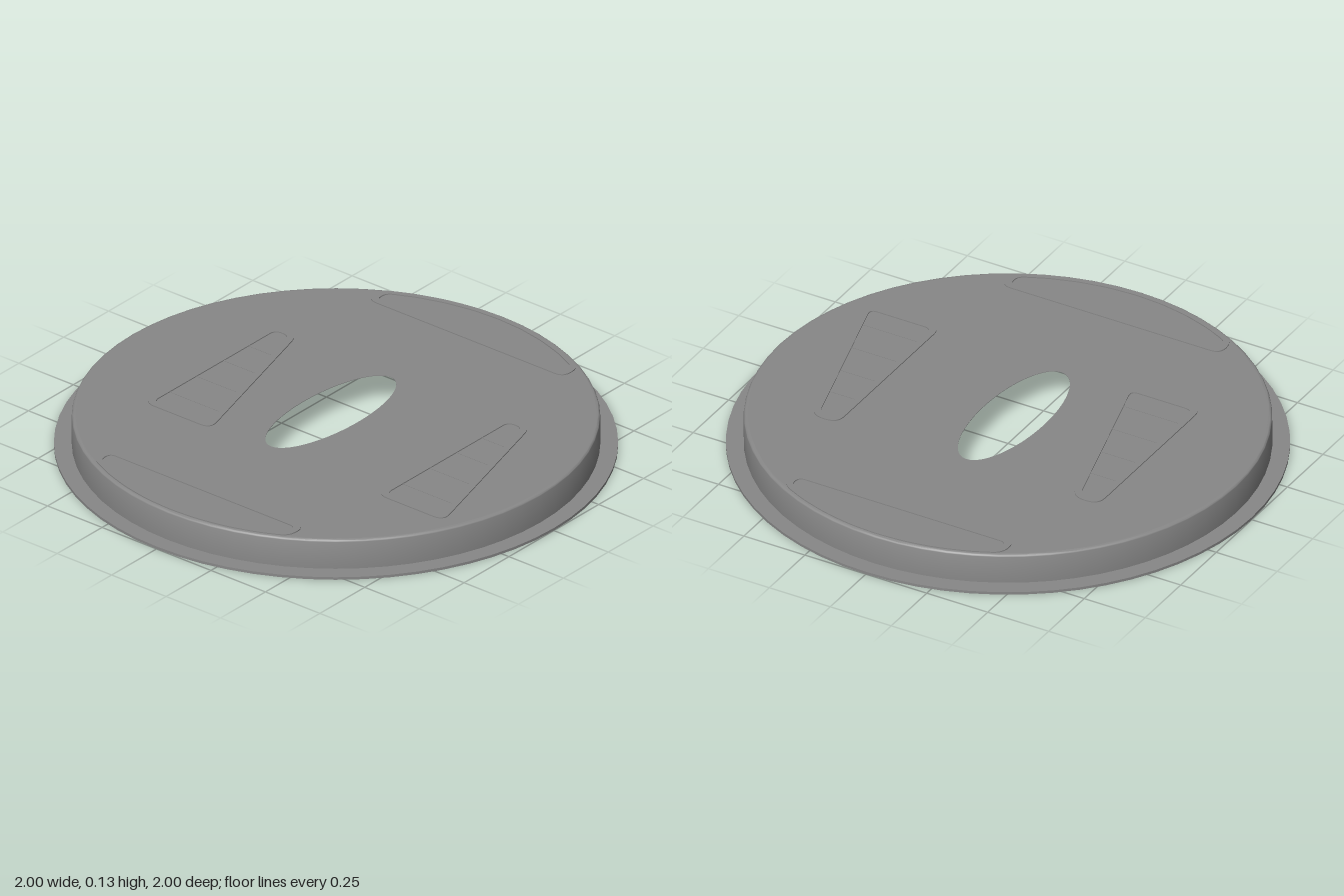
import * as THREE from 'three';
import { toCreasedNormals } from 'three/addons/utils/BufferGeometryUtils.js';

const TOP = 0.125;
const RIDGE_TOP = 0.129;
const material = new THREE.MeshStandardMaterial({ color: 0x888888 });

function addMesh(parent, name, geometry) {
  const mesh = new THREE.Mesh(toCreasedNormals(geometry, 0.5), material);
  mesh.name = name;
  parent.add(mesh);
  return mesh;
}

// Extrudes a plan drawn in (x, z) so that its upper face lies at y = top
function slab(shape, thickness, top) {
  const geometry = new THREE.ExtrudeGeometry(shape, {
    depth: thickness, curveSegments: 64, bevelEnabled: false,
  });
  return geometry.rotateX(Math.PI / 2).translate(0, top, 0);
}

// Outline points of a polygon with every corner rounded off
function roundedPolygon(corners, radius) {
  const pts = corners.map(([x, z]) => new THREE.Vector2(x, z));
  return pts.flatMap((p, i) => {
    const prev = pts[(i + pts.length - 1) % pts.length];
    const next = pts[(i + 1) % pts.length];
    const toward = (q) => p.clone().add(q.clone().sub(p).setLength(radius));
    return new THREE.QuadraticBezierCurve(toward(prev), p, toward(next)).getPoints(6);
  });
}

// Low raised frame between an outer and an inner outline
function frame(outer, inner) {
  const shape = new THREE.Shape(outer);
  shape.holes.push(new THREE.Path(inner));
  return slab(shape, 0.005, RIDGE_TOP);
}

// Corners of a disc segment cut off by a straight chord
function segmentCorners(radius, chord, halfLength) {
  const end = Math.asin(halfLength / radius);
  const arc = Array.from({ length: 9 }, (_, i) => {
    const a = (i / 4 - 1) * end;
    return [radius * Math.cos(a), radius * Math.sin(a)];
  });
  return [[chord, -halfLength], ...arc, [chord, halfLength]];
}

export function createModel() {
  const model = new THREE.Group();
  model.name = 'roundLid';

  // Thin side wall with a flat bottom flange and a softly rounded top edge
  const fillet = Array.from({ length: 6 }, (_, i) => {
    const a = (i / 5) * Math.PI / 2;
    return [0.925 + 0.012 * Math.cos(a), TOP - 0.012 + 0.012 * Math.sin(a)];
  });
  const profile = [
    [0.93, 0], [1, 0], [1, 0.01], [0.937, 0.01], ...fillet, [0.922, TOP],
    [0.922, TOP - 0.002], [0.93, TOP - 0.008], [0.93, 0],
  ].map(([r, y]) => new THREE.Vector2(r, y));
  addMesh(model, 'wallAndFlange', new THREE.LatheGeometry(profile, 64));

  // Thin top plate with the oval opening
  const disc = new THREE.Shape().absarc(0, 0, 0.923, 0, Math.PI * 2);
  disc.holes.push(new THREE.Path().absellipse(0, -0.024, 0.333, 0.123, 0, Math.PI * 2, true));
  addMesh(model, 'topPlate', slab(disc, 0.002, TOP));

  // Tapered raised frames, front and back, each with fine cross ribs
  const taperOuter = [[-0.37, -0.15], [0.36, -0.15], [0.36, -0.042], [-0.37, 0.16]];
  const taperInner = [[-0.345, -0.125], [0.335, -0.125], [0.335, -0.061], [-0.345, 0.127]];
  const taper = frame(roundedPolygon(taperOuter, 0.05), roundedPolygon(taperInner, 0.03));
  for (const [name, z] of [['frontPanel', 0.64], ['backPanel', -0.43]]) {
    const panel = new THREE.Group();
    panel.name = name;
    panel.position.z = z;
    model.add(panel);
    addMesh(panel, name + 'Frame', taper);
    for (const x of [-0.25, -0.1, 0.05, 0.19]) {
      const near = -0.126;
      const far = 0.033 - 0.277 * x;
      const rib = addMesh(panel, 'crossRib', new THREE.BoxGeometry(0.005, 0.003, far - near));
      rib.position.set(x, 0.125, (near + far) / 2);
    }
  }

  // Raised segment frames beside the rim, left and right
  const segment = frame(
    roundedPolygon(segmentCorners(0.923, 0.72, 0.45), 0.04),
    roundedPolygon(segmentCorners(0.903, 0.742, 0.425), 0.025),
  );
  for (const [name, turn] of [['leftSegment', 0], ['rightSegment', Math.PI]]) {
    addMesh(model, name, segment).rotation.y = turn;
  }

  return model;
}
